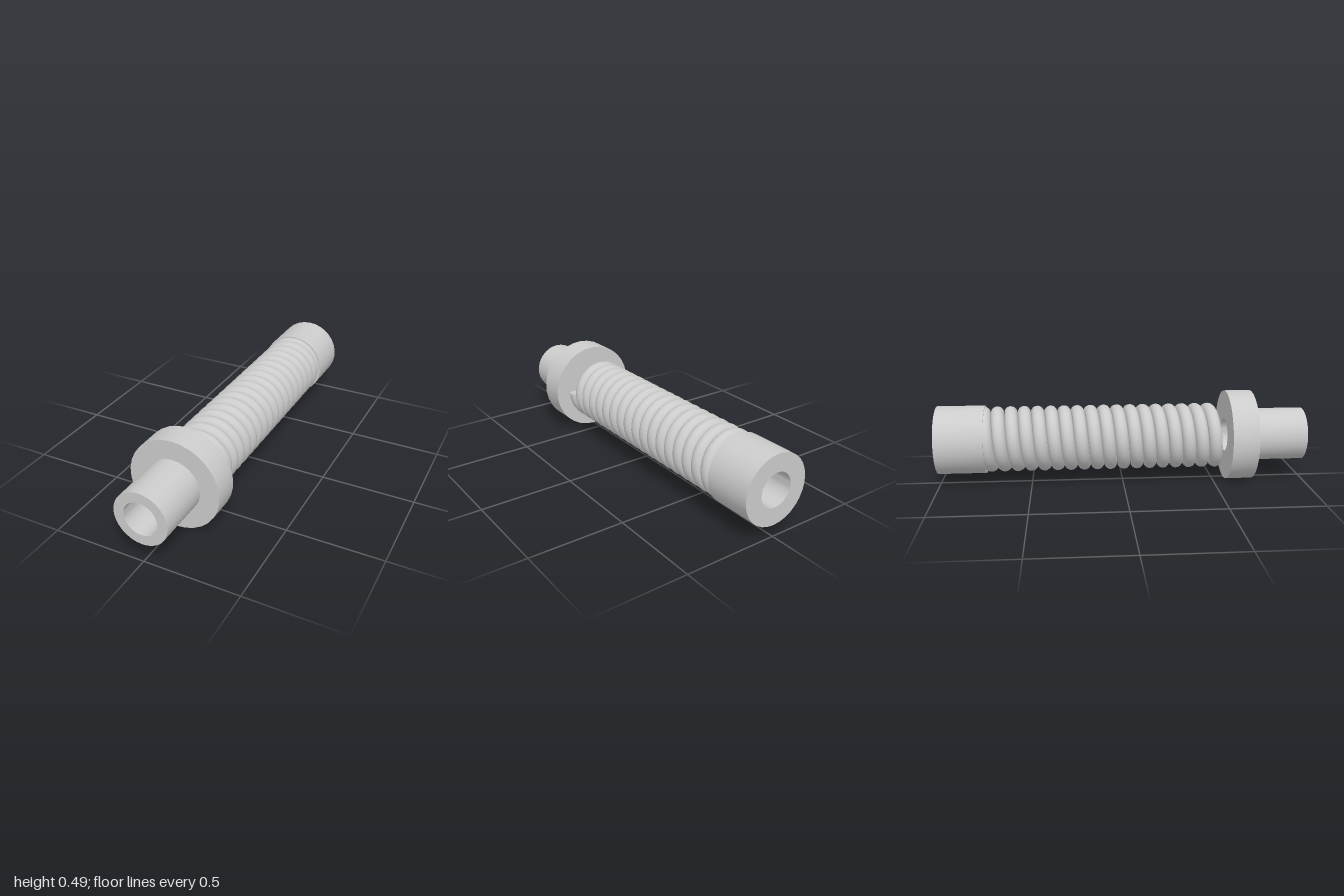
import * as THREE from 'three';
import { toCreasedNormals } from 'three/addons/utils/BufferGeometryUtils.js';

const AXIS_Y = 0.245;   // height of the common axis
const BORE = 0.09;
const COIL_R = 0.142, WIRE_R = 0.036, PITCH = 0.072, TURNS = 18, COIL_START = 0.53;

const material = new THREE.MeshStandardMaterial({ color: 0xcccccc });

// Closed [radius, z] profile turned around the z axis
function turned(name, profile) {
  const points = [...profile, profile[0]].map(([r, z]) => new THREE.Vector2(r, z));
  const geometry = new THREE.LatheGeometry(points, 30).rotateX(Math.PI / 2);
  const mesh = new THREE.Mesh(toCreasedNormals(geometry, 0.6), material);
  mesh.name = name;
  return mesh;
}

// Helix starting at +x and winding downwards first, towards the back
class Helix extends THREE.Curve {
  getPoint(t, target = new THREE.Vector3()) {
    const a = -t * TURNS * Math.PI * 2;
    return target.set(COIL_R * Math.cos(a), COIL_R * Math.sin(a), COIL_START - t * TURNS * PITCH);
  }
}

export function createModel() {
  const model = new THREE.Group();
  model.name = 'springAssembly';
  const body = new THREE.Group();
  body.name = 'body';
  body.position.y = AXIS_Y;
  model.add(body);

  // Front sleeve with its wide flange, bored through
  body.add(turned('flangedSleeve', [
    [BORE, 0.568], [0.245, 0.568], [0.245, 0.71], [0.143, 0.71], [0.143, 1], [BORE, 1],
  ]));

  // Rear collar
  body.add(turned('rearCollar', [
    [BORE, -1], [0.184, -1], [0.184, -0.742], [BORE, -0.742],
  ]));

  // Coil spring
  const helix = new Helix();
  const spring = new THREE.Mesh(new THREE.TubeGeometry(helix, TURNS * 36, WIRE_R, 16), material);
  spring.name = 'spring';
  body.add(spring);

  // Flat ends of the wire
  for (const [t, sign] of [[0, -1], [1, 1]]) {
    const cap = new THREE.Mesh(new THREE.CircleGeometry(WIRE_R, 16), material);
    cap.name = t ? 'wireEndRear' : 'wireEndFront';
    cap.position.copy(helix.getPoint(t));
    const outward = helix.getTangent(t).multiplyScalar(sign);
    cap.quaternion.setFromUnitVectors(new THREE.Vector3(0, 0, 1), outward);
    body.add(cap);
  }
  return model;
}
